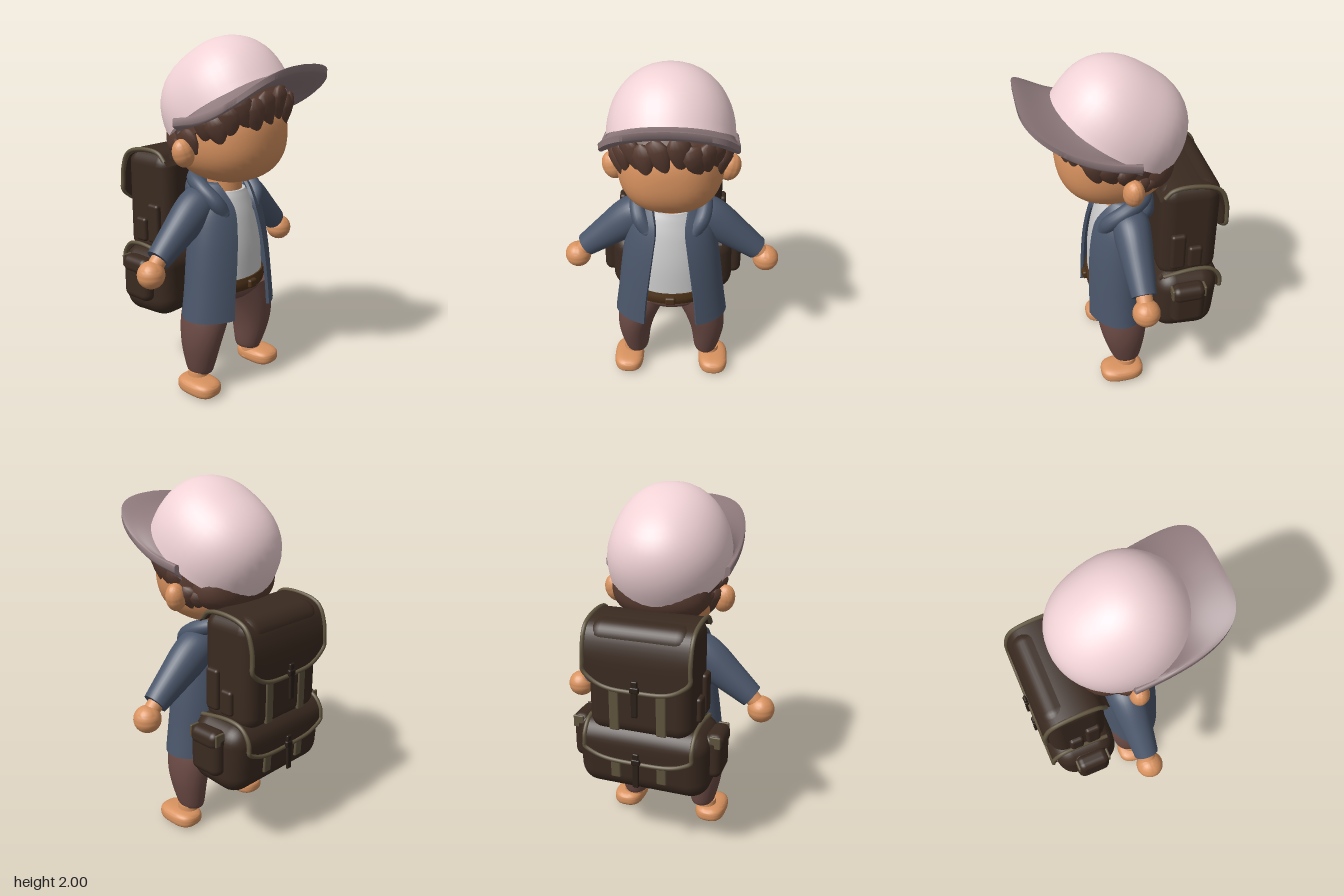
import * as THREE from 'three';
import { toCreasedNormals } from 'three/addons/utils/BufferGeometryUtils.js';
import { RoundedBoxGeometry } from 'three/addons/geometries/RoundedBoxGeometry.js';

const mat = (color) => new THREE.MeshStandardMaterial({ color });
const spow = (v, e) => Math.sign(v) * Math.abs(v) ** e;

// Skin of nu+1 closed rings with nv points each (nv even), ends closed by strips
function rings(nu, nv, point) {
  const pos = [], idx = [], end = nu * nv;
  for (let i = 0; i <= nu; i++) for (let j = 0; j < nv; j++) pos.push(...point(i, j));
  for (let j = 0; j < nv; j++) {
    const k = (j + 1) % nv;
    for (let i = 0; i < nu; i++) {
      const a = i * nv + j, b = i * nv + k;
      idx.push(a, a + nv, b, b, a + nv, b + nv);
    }
  }
  for (let j = 0; j < nv / 2 - 1; j++) {
    const k = j + 1, c = nv - 2 - j, d = nv - 1 - j;
    idx.push(j, k, c, j, c, d, end + c, end + k, end + j, end + d, end + c, end + j);
  }
  // turn the faces outward if the enclosed volume is negative
  const v = (i) => new THREE.Vector3().fromArray(pos, idx[i] * 3);
  let volume = 0;
  for (let i = 0; i < idx.length; i += 3) volume += v(i).dot(v(i + 1).cross(v(i + 2)));
  if (volume < 0) idx.reverse();
  const g = new THREE.BufferGeometry();
  g.setAttribute('position', new THREE.Float32BufferAttribute(pos, 3));
  g.setIndex(idx);
  return toCreasedNormals(g, 0.9);
}

// Smoothly interpolated table of numbers, t from 0 to 1
function table(rows) {
  const c = new THREE.CubicInterpolant(rows.map((_, i) => i), rows.flat(), rows[0].length);
  return (t) => [...c.evaluate(t * (rows.length - 1))];
}

// Upright loft from rows of [y, centre x, centre z, radius x, radius z]
function loft(rows, steps = 20, sides = 32) {
  const at = table(rows);
  return rings(steps, sides, (i, j) => {
    const [y, cx, cz, rx, rz] = at(i / steps), a = j / sides * Math.PI * 2;
    return [cx + rx * Math.sin(a), y, cz + rz * Math.cos(a)];
  });
}

// Thick sheet: f(s, t, inner) gives a point on its outer or inner side
function slab(ns, nt, f) {
  return rings(ns, nt * 2, (i, j) => j < nt ? f(i / ns, j / (nt - 1), false)
    : f(i / ns, (2 * nt - 1 - j) / (nt - 1), true));
}

// Squarish ellipsoid (p in side profile, q across), optionally cut flat at its middle
function blob(rx, ry, rz, p = 2, q = p, flat = false) {
  const g = new THREE.SphereGeometry(1, 40, 28), a = g.attributes.position;
  for (let i = 0; i < a.count; i++) {
    const x = a.getX(i), y = a.getY(i), z = a.getZ(i);
    const side = (Math.abs(y) ** p + Math.abs(z) ** p) ** (q / p);
    const k = (side + Math.abs(x) ** q) ** (-1 / q);
    a.setXYZ(i, x * k * rx, (flat ? Math.max(0, y) : y) * k * ry, z * k * rz);
  }
  return toCreasedNormals(g, 0.9);
}

export function createModel() {
  const model = new THREE.Group();
  const skin = mat(0xd8925f), hairMat = mat(0x5a3d32), pink = mat(0xf0d2d5), brimMat = mat(0x8f7a7d);
  const denim = mat(0x4a566a), white = mat(0xc8c8c8), trouser = mat(0x6b4a44), leather = mat(0x4a3018);
  const canvas = mat(0x3a2a20), khaki = mat(0x5f533d), dark = mat(0x2a1f18);
  const add = (name, geo, material, pos = [0, 0, 0], rot = [0, 0, 0]) => {
    const m = new THREE.Mesh(geo, material);
    m.name = name;
    m.position.set(...pos);
    m.rotation.set(...rot, 'YXZ');
    model.add(m);
    return m;
  };
  const box = (name, size, r, material, pos, rot) =>
    add(name, new RoundedBoxGeometry(...size, 4, r), material, pos, rot);

  // Head and neck
  add('head', blob(0.285, 0.27, 0.31, 2.4), skin, [0, 1.49, 0.05]);
  add('neck', new THREE.CylinderGeometry(0.1, 0.1, 0.16, 32), skin, [0, 1.2, 0.015]);

  // Hair: a tilted cap and nape with pointed locks around the rim
  const tilt = -0.576;
  add('hair', blob(0.305, 0.34, 0.32, 2.3, 2.3, true), hairMat, [0, 1.52, 0.08], [tilt, 0, 0]);
  add('napeHair', blob(0.275, 0.16, 0.175, 2.3), hairMat, [0, 1.46, -0.095]);
  const lock = new THREE.LatheGeometry([[0, -0.12], [0.022, -0.095], [0.046, -0.03], [0.055, 0.03],
    [0.035, 0.07], [0, 0.085]].map((p) => new THREE.Vector2(...p)), 14);
  for (let i = 0; i < 24; i++) {
    const a = (i + 0.5) / 24 * Math.PI * 2, back = (1 - Math.cos(a)) / 2;
    const x = 0.285 * spow(Math.sin(a), 0.85), u = 0.315 * spow(Math.cos(a), 0.85);
    const y = 1.51 + 0.53 * u - 0.022 * ((i * 2) % 3) + 0.03 * back;
    const m = add('hairLock', lock, hairMat, [x, y, 0.08 + 0.85 * u],
      [0.12 + 0.4 * back, Math.atan2(x, u), 0.2 * (i % 2) + 0.12]);
    m.scale.set(1.1, 1.05 - 0.4 * back, 0.6);
  }

  // Cap crown and curved brim
  add('capCrown', blob(0.335, 0.377, 0.37, 2.5, 2.1, true), pink, [0, 1.602, 0.052], [tilt, 0, 0]);
  add('capBrim', slab(64, 16, (s, t, inner) => {
    const a = (s * 2 - 1) * 1.85, b = (s * 2 - 1) * Math.PI / 2, mix = THREE.MathUtils.lerp;
    const x = mix(0.322 * Math.sin(a), 0.352 * spow(Math.sin(b), 0.46), t);
    const z = mix(0.047 + 0.3 * Math.cos(a), -0.03 + 0.565 * spow(Math.cos(b), 0.46), t);
    const d = z + 0.03, arch = 0.12 * (1 - 0.5 * (d / 0.565) ** 4) * (1 - (x / 0.352) ** 2);
    const y = mix(1.615 + 0.195 * Math.cos(a), 1.595 + 0.5 * d * d + 0.13 * d + arch, t ** 0.7);
    const round = 0.012 * t ** 6;
    return [x, inner ? y - 0.055 + round : y - round, z];
  }), brimMat);

  // Shirt, belt and hips
  add('shirt', loft([[0.64, 0, 0.04, 0.24, 0.165], [0.85, 0, 0.04, 0.22, 0.16], [1.02, 0, 0.035, 0.19, 0.14],
    [1.12, 0, 0.025, 0.155, 0.122], [1.17, 0, 0.02, 0.12, 0.108]]), white);
  add('belt', loft([[0.61, 0, 0.04, 0.25, 0.173], [0.645, 0, 0.04, 0.255, 0.182], [0.68, 0, 0.04, 0.25, 0.173]], 6),
    leather);
  box('beltBuckle', [0.06, 0.05, 0.03], 0.012, leather, [0, 0.645, 0.226]);
  add('hips', loft([[0.525, 0, 0.04, 0.06, 0.06], [0.54, 0, 0.04, 0.13, 0.115], [0.58, 0, 0.04, 0.23, 0.158],
    [0.62, 0, 0.04, 0.255, 0.168], [0.66, 0, 0.04, 0.25, 0.165]]), trouser);

  // Open jacket with a hood lying round the neck
  const coat = table([[0.465, 0.332, 0.205, 0.05, 0.155], [0.62, 0.31, 0.198, 0.05, 0.142],
    [0.8, 0.288, 0.19, 0.045, 0.12], [0.95, 0.265, 0.175, 0.04, 0.1], [1.08, 0.235, 0.152, 0.03, 0.085],
    [1.17, 0.19, 0.125, 0.01, 0.1], [1.22, 0.14, 0.1, 0, 0.11]]);
  add('jacket', slab(60, 26, (s, t, inner) => {
    const [y, rx, rz, cz, open] = coat(t), a0 = Math.asin(open / rx);
    const a = a0 + s * 2 * (Math.PI - a0), d = inner ? 0.018 : 0;
    return [(rx - d) * Math.sin(a), y, cz + (rz - d) * Math.cos(a)];
  }), denim);
  const half = [[0.125, 1.06, 0.12], [0.17, 1.13, 0.1], [0.185, 1.195, 0.02], [0.14, 1.235, -0.08]];
  const hoodPath = [...half, [0, 1.255, -0.12], ...half.map(([x, y, z]) => [-x, y, z]).reverse()];
  add('hoodRim', new THREE.TubeGeometry(new THREE.CatmullRomCurve3(
    hoodPath.map((p) => new THREE.Vector3(...p))), 60, 0.045, 14), denim);
  add('hoodBag', blob(0.18, 0.12, 0.08), denim, [0, 1.17, -0.1]);

  for (const s of [1, -1]) {
    add('hoodEnd', blob(0.045, 0.045, 0.045), denim, [s * 0.125, 1.06, 0.12]);
    add('ear', blob(0.06, 0.078, 0.053), skin, [s * 0.314, 1.41, 0.008], [0, s * 0.35, -s * 0.3]);

    // Arm
    add('sleeve', loft([[-0.413, 0, 0, 0.068, 0.068], [-0.25, 0, 0, 0.092, 0.085], [-0.1, 0, 0, 0.112, 0.1],
      [0, 0, 0, 0.1, 0.1], [0.07, 0, 0, 0.05, 0.06]]), denim, [s * 0.17, 1.12, -0.01], [0, 0, s * 0.906]);
    add('wrist', new THREE.CylinderGeometry(0.045, 0.045, 0.12, 20), skin, [s * 0.505, 0.85, -0.01], [0, 0, s * 0.8]);
    add('hand', blob(0.075, 0.075, 0.075), skin, [s * 0.55, 0.795, -0.01]);

    // Leg and foot
    add('trouserLeg', loft([[0.108, s * 0.215, 0.02, 0.05, 0.065], [0.135, s * 0.217, 0.022, 0.072, 0.085],
      [0.3, s * 0.222, 0.035, 0.1, 0.125], [0.45, s * 0.195, 0.04, 0.12, 0.148], [0.6, s * 0.135, 0.04, 0.135, 0.148]]),
    trouser);
    add('ankle', new THREE.CylinderGeometry(0.055, 0.065, 0.09, 24), skin, [s * 0.24, 0.08, 0.025]);
    add('foot', blob(0.09, 0.05, 0.13, 3.2, 2.8), skin, [s * 0.265, 0.05, 0.06]);

    // Backpack sides and back straps
    box('sidePocket', [0.12, 0.25, 0.2], 0.045, canvas, [s * 0.365, 0.65, -0.295]);
    box('sidePocketFlap', [0.1, 0.1, 0.19], 0.04, canvas, [s * 0.383, 0.735, -0.295]);
    for (const z of [-0.203, -0.387]) {
      box('sidePocketTrim', [0.06, 0.07, 0.014], 0.006, khaki, [s * 0.39, 0.745, z]);
    }
    box('tallPouch', [0.05, 0.23, 0.085], 0.018, canvas, [s * 0.29, 0.965, -0.25]);
    box('shortPouch', [0.05, 0.14, 0.08], 0.018, canvas, [s * 0.29, 0.915, -0.35]);
    box('upperStrap', [0.055, 0.32, 0.02], 0.008, khaki, [s * 0.13, 0.95, -0.49]);
    box('lowerStrap', [0.055, 0.24, 0.02], 0.008, khaki, [s * 0.13, 0.62, -0.49], [-0.04, 0, 0]);
  }

  // Backpack bodies
  box('packUpper', [0.58, 0.62, 0.34], 0.085, canvas, [0, 1.065, -0.322]);
  box('packLower', [0.74, 0.4, 0.37], 0.11, canvas, [0, 0.612, -0.303], [-0.07, 0, 0]);

  // Pack flap folding over the top, with a rounded lower edge, trim and a centre strap
  function flap(name, width, profile, sideY, drop) {
    const point = (x, t) => {
      const end = sideY - drop * (1 - (x / width) ** 4);
      const last = profile[profile.length - 1];
      const pts = [...profile, [last[0] - 0.007, end]].map(([z, y]) => new THREE.Vector3(x, y, z));
      return new THREE.CatmullRomCurve3(pts).getPoint(t);
    };
    add(name, slab(28, 24, (s, t, inner) => {
      const p = point((s * 2 - 1) * width, t);
      return inner ? [p.x, p.y - 0.022 * (1 - t), p.z + 0.022] : p.toArray();
    }), canvas);
    const edge = [];
    for (let i = 0; i < 12; i++) edge.push(point(width, i / 12));
    for (let i = 0; i <= 12; i++) edge.push(point(width * (1 - i / 6), 1));
    for (let i = 11; i >= 0; i--) edge.push(point(-width, i / 12));
    add(name + 'Trim', new THREE.TubeGeometry(new THREE.CatmullRomCurve3(edge), 120, 0.012, 8), khaki);
    box(name + 'Strap', [0.035, 0.2, 0.016], 0.007, dark, [0, sideY - drop - 0.03, -0.53], [0.03, 0, 0]);
    box(name + 'Buckle', [0.05, 0.035, 0.022], 0.008, dark, [0, sideY - drop + 0.02, -0.528]);
  }
  flap('upperFlap', 0.29, [[-0.165, 1.33], [-0.21, 1.372], [-0.36, 1.378], [-0.465, 1.34], [-0.508, 1.24]], 1.12, 0.09);
  flap('lowerFlap', 0.3, [[-0.17, 0.795], [-0.36, 0.82], [-0.455, 0.803], [-0.505, 0.74]], 0.675, 0.06);

  return model;
}
